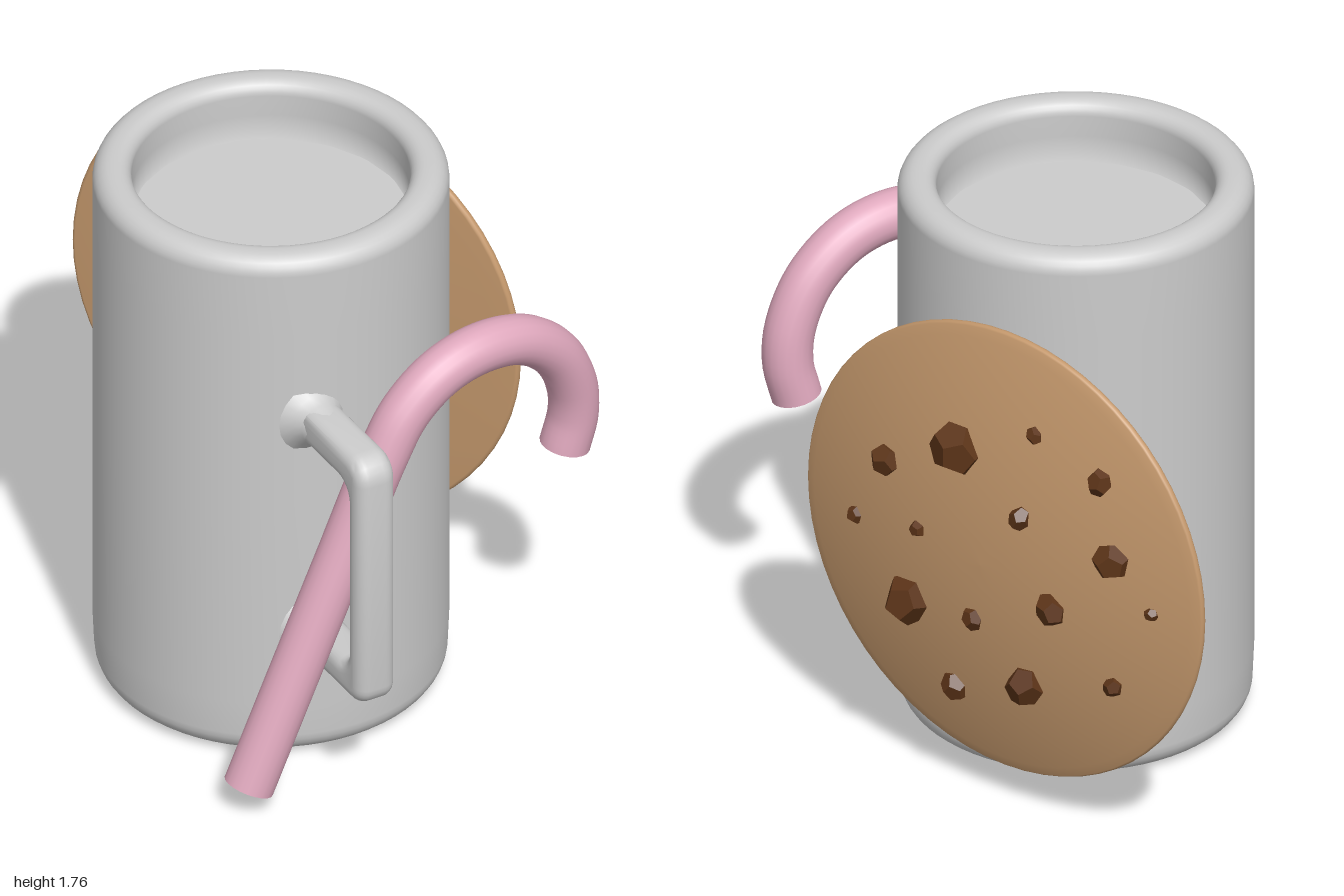
import * as THREE from 'three';
import { toCreasedNormals } from 'three/addons/utils/BufferGeometryUtils.js';

const V2 = (x, y) => new THREE.Vector2(x, y);
const V3 = (x, y, z) => new THREE.Vector3(x, y, z);
const mat = (color, extra = {}) => new THREE.MeshStandardMaterial({ color, ...extra });

function add(parent, name, geometry, material) {
  const mesh = new THREE.Mesh(geometry, material);
  mesh.name = name;
  parent.add(mesh);
  return mesh;
}

// Points of a rounded corner: centre, radius, start and end angle in degrees
function arc(cx, cy, r, a0, a1, n = 6) {
  return Array.from({ length: n + 1 }, (_, i) => {
    const a = THREE.MathUtils.degToRad(a0 + ((a1 - a0) * i) / n);
    return V2(cx + r * Math.cos(a), cy + r * Math.sin(a));
  });
}

// Cup with thick rounded rim, drink, handle and two eyes
function createMug() {
  const mug = new THREE.Group();
  mug.name = 'mug';
  mug.position.set(-0.14, 0, 0.125);
  const grey = mat(0xcccccc);

  const profile = [
    V2(0, 0.005), V2(0.25, 0.005), V2(0.4, 0.01),
    ...arc(0.445, 0.085, 0.075, -85, 0),
    V2(0.525, 0.2), V2(0.525, 0.9), V2(0.525, 1.5),
    ...arc(0.468, 1.713, 0.057, 0, 90),
    ...arc(0.453, 1.727, 0.043, 90, 180),
    V2(0.41, 1.66), V2(0.41, 1.54), V2(0, 1.54),
  ];
  add(mug, 'cup', new THREE.LatheGeometry(profile, 64), grey);

  const drink = new THREE.CircleGeometry(0.412, 20);
  drink.rotateX(-Math.PI / 2);
  add(mug, 'drink', drink, grey).position.y = 1.575;

  // Handle: C-shaped outline drawn as depth and height, then turned sideways
  const outline = [
    V2(0.44, 0.4), ...arc(0.815, 0.46, 0.06, -90, 0),
    ...arc(0.795, 1.18, 0.08, 0, 90), V2(0.44, 1.26),
    V2(0.44, 1.145), ...arc(0.735, 1.095, 0.05, 90, 0),
    ...arc(0.735, 0.56, 0.05, 0, -90), V2(0.44, 0.51),
  ];
  const bevel = 0.042;
  let handle = new THREE.ExtrudeGeometry(new THREE.Shape(outline), {
    depth: 0.13 - 2 * bevel, bevelSize: bevel, bevelThickness: bevel,
    bevelOffset: -bevel, bevelSegments: 6,
  });
  handle.translate(0, 0, -0.065 + bevel);
  handle.rotateY(-Math.PI / 2);
  handle = toCreasedNormals(handle, 0.9);
  add(mug, 'handle', handle, grey).position.x = -0.135;

  // Flared joints where the handle meets the cup
  for (const y of [0.455, 1.2]) {
    const flare = [V2(0.115, 0), V2(0.088, 0.025), V2(0.07, 0.055), V2(0.06, 0.1)];
    const joint = add(mug, 'handleJoint', new THREE.LatheGeometry(flare, 20), grey);
    joint.rotation.x = Math.PI / 2;
    joint.position.set(-0.135, y, 0.485);
  }

  // Eyes: flattened balls on the side of the cup
  for (const angle of [-0.125, 0.225]) {
    const eye = add(mug, 'eye', new THREE.SphereGeometry(0.046, 24, 16), mat(0x111111));
    eye.scale.x = 0.4;
    eye.rotation.y = -angle;
    eye.position.set(0.523 * Math.cos(angle), 0.89, 0.523 * Math.sin(angle));
  }
  return mug;
}

// Hooked cane leaning past the handle
function createCane() {
  const cane = new THREE.Group();
  cane.name = 'cane';
  const pink = mat(0xe0a9be);
  const radius = 0.076;
  const path = new THREE.CatmullRomCurve3([
    V3(-0.585, 0.085, 0.77), V3(-0.43, 0.435, 0.77), V3(-0.28, 0.775, 0.772),
    V3(-0.13, 1.11, 0.772), V3(-0.055, 1.235, 0.77), V3(0.06, 1.328, 0.766),
    V3(0.2, 1.36, 0.752), V3(0.36, 1.325, 0.725), V3(0.49, 1.22, 0.698),
    V3(0.56, 1.08, 0.678), V3(0.572, 0.965, 0.668), V3(0.547, 0.855, 0.662),
  ]);
  add(cane, 'caneRod', new THREE.TubeGeometry(path, 90, radius, 20), pink);
  for (const [t, sign] of [[0, -1], [1, 1]]) {
    const cap = add(cane, 'caneEnd', new THREE.CircleGeometry(radius, 20), pink);
    cap.position.copy(path.getPointAt(t));
    cap.quaternion.setFromUnitVectors(V3(0, 0, 1), path.getTangentAt(t).multiplyScalar(sign));
  }
  return cane;
}

// Domed cookie standing on edge, dome facing its local +z
function createCookie() {
  const cookie = new THREE.Group();
  cookie.name = 'cookie';
  cookie.position.set(0.247, 0.85, -0.397);
  cookie.rotation.y = Math.atan2(0.825, -0.565);

  const R = 0.73;
  const dome = (r) => 0.012 + 0.118 * (1 - (r / R) ** 2);
  const profile = [V2(0, -0.04), V2(0.25, -0.037), V2(0.5, -0.026), V2(0.65, -0.018)];
  profile.push(...arc(R - 0.014, 0, 0.014, -80, 60));
  for (let i = 9; i >= 0; i--) profile.push(V2(i * 0.077, dome(i * 0.077)));
  const body = new THREE.LatheGeometry(profile, 64);
  body.rotateX(Math.PI / 2);
  add(cookie, 'cookieBody', body, mat(0xc4986c));

  // Chips: across, up, size
  const chips = [
    [-0.11, 0.34, 0.09], [0.16, 0.468, 0.03], [0.39, 0.383, 0.047],
    [-0.38, 0.206, 0.058], [0.137, 0.2, 0.041], [0.45, 0.142, 0.067],
    [-0.24, 0.035, 0.031], [-0.5, -0.024, 0.03], [0.25, -0.072, 0.057],
    [0.575, -0.003, 0.025], [-0.035, -0.195, 0.04], [-0.285, -0.222, 0.09],
    [0.14, -0.372, 0.073], [0.445, -0.286, 0.036], [-0.13, -0.473, 0.05],
  ];
  const brown = mat(0x5c3418, { flatShading: true });
  chips.forEach(([x, y, size], i) => {
    const chip = add(cookie, 'chocolateChip', new THREE.DodecahedronGeometry(size, 0), brown);
    chip.position.set(x, y, dome(Math.hypot(x, y)) - size * 0.1);
    chip.scale.set(1, 0.95 + 0.1 * Math.sin(i * 2), 0.85);
    chip.rotation.set(i * 1.3, i * 2.1, i * 0.7);
  });
  return cookie;
}

export function createModel() {
  const model = new THREE.Group();
  model.name = 'mugWithCookieAndCane';
  model.add(createMug(), createCane(), createCookie());
  return model;
}
